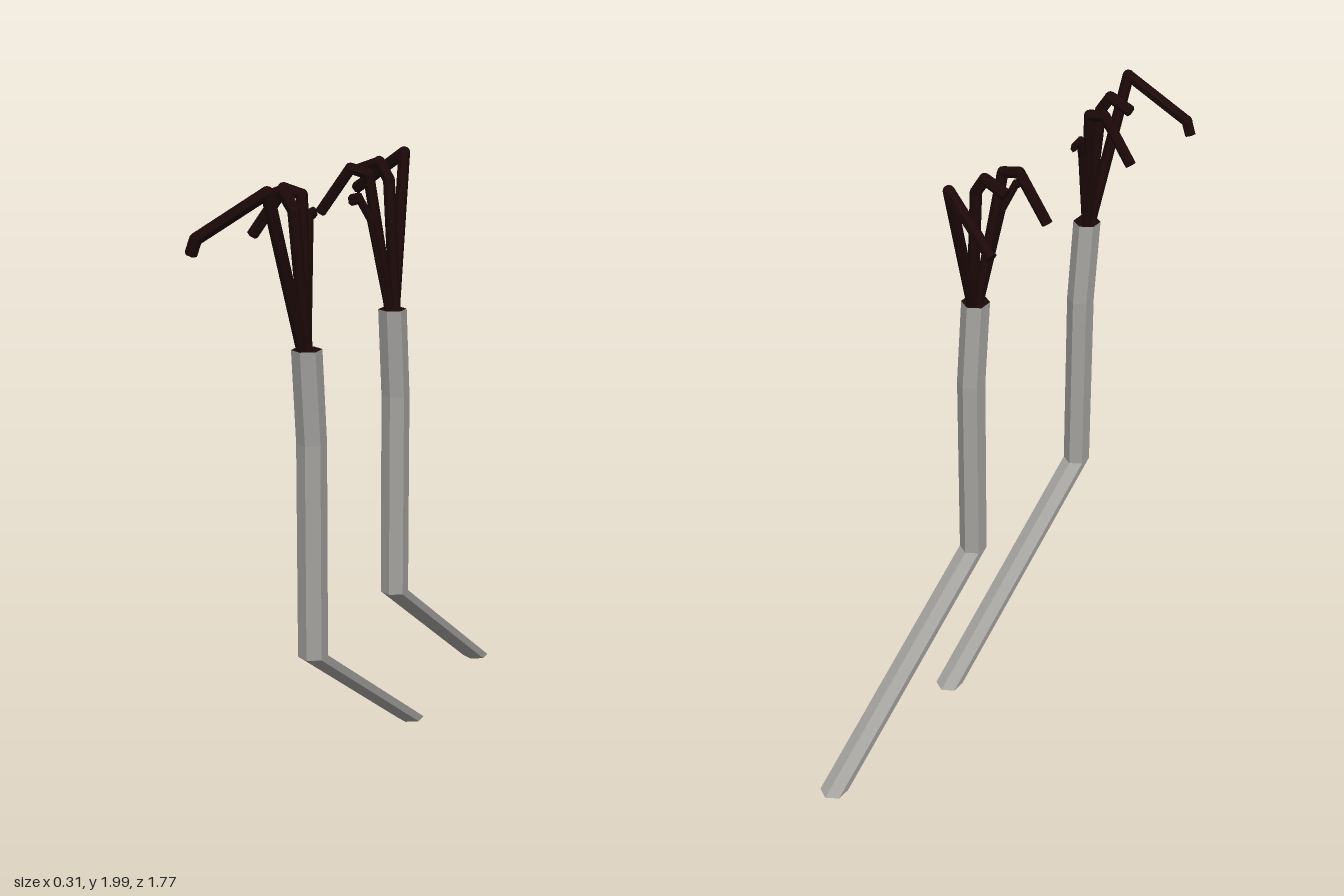
import * as THREE from 'three';

const skin = new THREE.MeshStandardMaterial({ color: 0xa3a19e, flatShading: true });
skin.name = 'grey';
const dark = new THREE.MeshStandardMaterial({ color: 0x1c0808, flatShading: true });
dark.name = 'dark brown';

// Six-sided arm lofted through horizontal sections; the top cap is dark
function makeArm(sections) {
  const pos = [], n = 6;
  const point = (s, i) => {
    const a = (i / n) * Math.PI * 2;
    return [0.11 + 0.046 * Math.sin(a), s[0], s[1] + 0.047 * Math.cos(a)];
  };
  for (let k = 0; k < sections.length - 1; k++) {
    for (let i = 0; i < n; i++) {
      const a = point(sections[k], i), b = point(sections[k], i + 1);
      const c = point(sections[k + 1], i + 1), d = point(sections[k + 1], i);
      pos.push(...a, ...b, ...c, ...a, ...c, ...d);
    }
  }
  const low = sections[0], high = sections[sections.length - 1];
  for (let i = 0; i < n; i++) pos.push(0.11, low[0], low[1], ...point(low, i + 1), ...point(low, i));
  const sideCount = pos.length / 3;
  for (let i = 0; i < n; i++) pos.push(0.11, high[0], high[1], ...point(high, i), ...point(high, i + 1));
  const g = new THREE.BufferGeometry();
  g.setAttribute('position', new THREE.Float32BufferAttribute(pos, 3));
  g.addGroup(0, sideCount, 0);
  g.addGroup(sideCount, n * 3, 1);
  g.computeVertexNormals();
  return new THREE.Mesh(g, [skin, dark]);
}

// Jointed finger: a six-sided rod per bone and a small knuckle at each bend
function makeFinger(name, points, r, flat = 1) {
  const finger = new THREE.Group();
  finger.name = name;
  const up = new THREE.Vector3(0, 1, 0);
  const pts = points.map(p => new THREE.Vector3(...p));
  for (let i = 0; i < pts.length - 1; i++) {
    const dir = pts[i + 1].clone().sub(pts[i]);
    const bone = new THREE.Mesh(new THREE.CylinderGeometry(r, r, dir.length(), 6), dark);
    bone.name = 'bone';
    bone.position.copy(pts[i]).addScaledVector(dir, 0.5);
    bone.quaternion.setFromUnitVectors(up, dir.normalize());
    bone.scale.x = flat;
    finger.add(bone);
    if (i > 0) {
      const knuckle = new THREE.Mesh(new THREE.IcosahedronGeometry(r, 1), dark);
      knuckle.name = 'knuckle';
      knuckle.position.copy(pts[i]);
      knuckle.scale.x = flat;
      finger.add(knuckle);
    }
  }
  return finger;
}

// Hand around wrist depth z; side flips it front to back
function makeHand(z, side, longTip) {
  const hand = new THREE.Group();
  hand.name = 'hand';
  const at = list => list.map(([x, y, d]) => [x, y, z + side * d]);
  const long = [[0.108, 1.48, -0.018], [0.075, 1.97, -0.175], [-0.122, 1.835, -0.235]];
  if (longTip) long.push([-0.14, 1.79, -0.232]);
  hand.add(
    makeFinger('longFinger', at(long), 0.019),
    makeFinger('middleFinger', at([[0.115, 1.48, -0.01], [0.085, 1.9, -0.026], [0.05, 1.955, -0.028], [-0.03, 1.925, -0.028]]), 0.019),
    makeFinger('foreFinger', at([[0.105, 1.48, 0.005], [0.06, 1.93, 0.08], [0, 1.945, 0.083], [-0.105, 1.8, 0.083]]), 0.018),
    makeFinger('thumb', at([[0.105, 1.48, 0.015], [0.075, 1.79, 0.095], [0.055, 1.862, 0.14], [0.048, 1.862, 0.188]]), 0.018, 0.6)
  );
  return hand;
}

export function createModel() {
  const model = new THREE.Group();
  model.name = 'armPair';
  [['frontArm', 0.608, -1, true], ['backArm', -0.035, 1, false]].forEach(([name, z, side, tip]) => {
    const group = new THREE.Group();
    group.name = name;
    const arm = makeArm([[0, z - 0.796], [0.52, z], [1.2, z], [1.49, z + 0.029]]);
    arm.name = 'arm';
    group.add(arm, makeHand(z + 0.029, side, tip));
    model.add(group);
  });
  return model;
}
